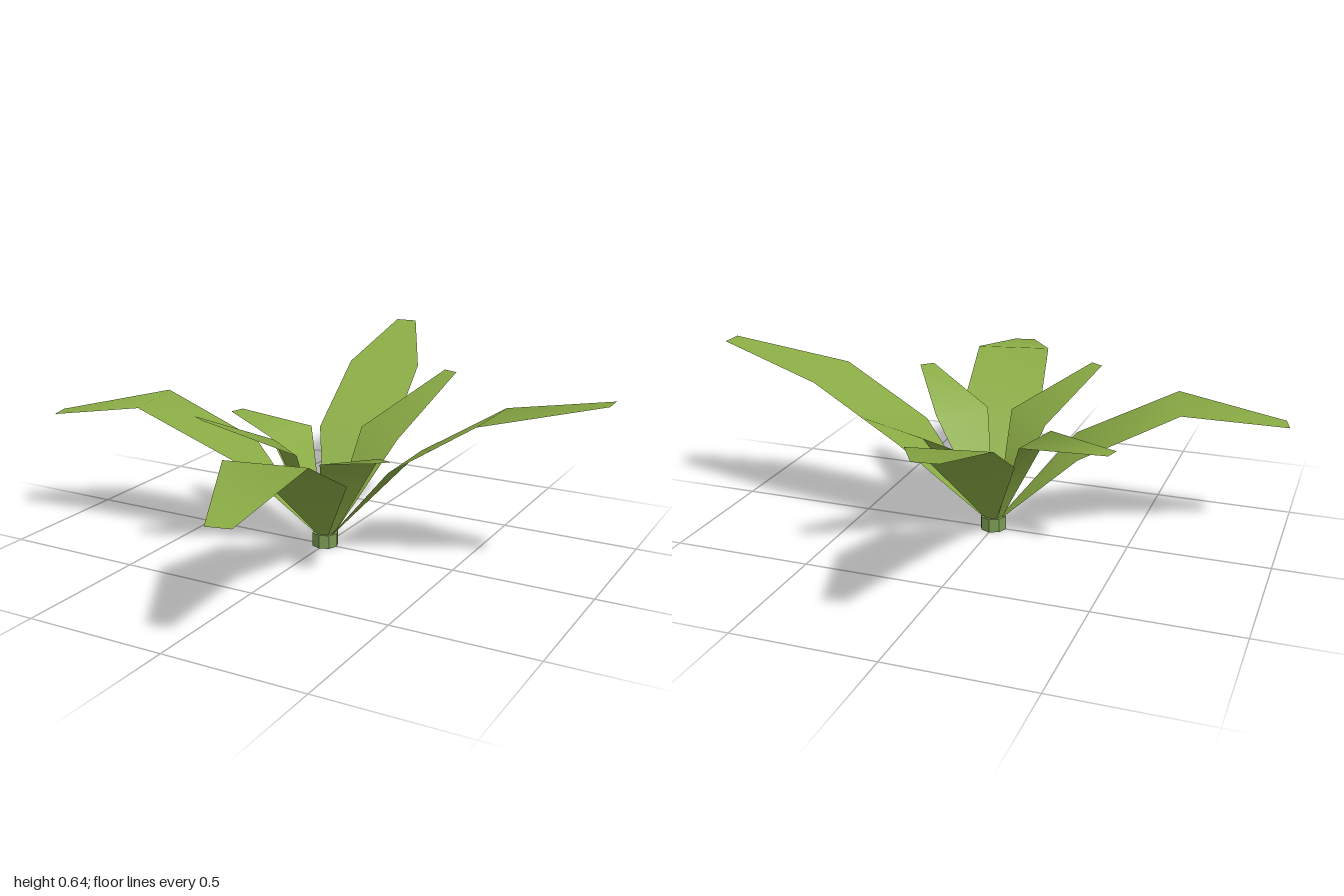
import * as THREE from 'three';

const leafGreen = new THREE.MeshStandardMaterial({ color: 0x8aab45, side: THREE.DoubleSide });
leafGreen.name = 'leafGreen';
const stemGreen = new THREE.MeshStandardMaterial({ color: 0x7a9a52, flatShading: true });
stemGreen.name = 'stemGreen';

// Each cross-section, from crown to tip: [height, left x, left z, right x, right z]
const longLeaves = {
  leftLongLeaf: [[0.35, 0.29, -0.18, 0.3, 0.11], [0.545, 0.6, -0.19, 0.6, 0.085], [0.637, 0.995, -0.11, 0.995, -0.03]],
  backLongLeaf: [[0.355, -0.17, -0.265, 0.11, -0.32], [0.538, -0.215, -0.6, 0.055, -0.65], [0.642, -0.2, -0.99, -0.12, -1.0]],
  rightLongLeaf: [[0.33, -0.25, 0.2, -0.33, -0.07], [0.5, -0.6, 0.285, -0.66, 0.015], [0.43, -0.98, 0.295, -1.0, 0.22]],
  frontLongLeaf: [[0.33, 0.22, 0.25, -0.07, 0.31], [0.5, 0.27, 0.59, 0, 0.65], [0.43, 0.25, 0.98, 0.17, 1.0]],
};
const shortLeaves = {
  backLeftShortLeaf: [[0.38, 0.01, -0.26, 0.2, -0.17], [0.565, 0.22, -0.535, 0.275, -0.515]],
  frontLeftShortLeaf: [[0.38, 0.245, 0.065, 0.1, 0.22], [0.475, 0.425, 0.35, 0.385, 0.39]],
  frontRightShortLeaf: [[0.39, 0, 0.2, -0.17, 0.07], [0.535, -0.245, 0.41, -0.29, 0.38]],
  backRightShortLeaf: [[0.385, -0.2, 0.04, -0.15, -0.165], [0.405, -0.48, -0.13, -0.465, -0.185]],
};

// Flat bent blade growing from the crown through its cross-sections
function makeLeaf(name, sections) {
  const [, lx, lz, rx, rz] = sections[0];
  const out = new THREE.Vector2(lx + rx, lz + rz).normalize();
  const across = new THREE.Vector2(rx - lx, rz - lz).normalize().multiplyScalar(0.018);
  out.multiplyScalar(0.03);
  const base = [0.045, out.x - across.x, out.y - across.y, out.x + across.x, out.y + across.y];

  const positions = [];
  const index = [];
  [base, ...sections].forEach(([y, ax, az, bx, bz], i) => {
    positions.push(ax, y, az, bx, y, bz);
    const k = 2 * i;
    if (i > 0) index.push(k - 2, k - 1, k, k - 1, k + 1, k);
  });
  const geometry = new THREE.BufferGeometry();
  geometry.setAttribute('position', new THREE.Float32BufferAttribute(positions, 3));
  geometry.setIndex(index);
  geometry.computeVertexNormals();
  const mesh = new THREE.Mesh(geometry, leafGreen);
  mesh.name = name;
  return mesh;
}

export function createModel() {
  const group = new THREE.Group();
  group.name = 'leafyPlant';

  // Short faceted stem under the crown
  const stem = new THREE.Mesh(new THREE.CylinderGeometry(0.048, 0.048, 0.05, 8), stemGreen);
  stem.name = 'stem';
  stem.position.y = 0.025;
  group.add(stem);

  for (const [name, sections] of Object.entries({ ...longLeaves, ...shortLeaves })) {
    group.add(makeLeaf(name, sections));
  }
  return group;
}
